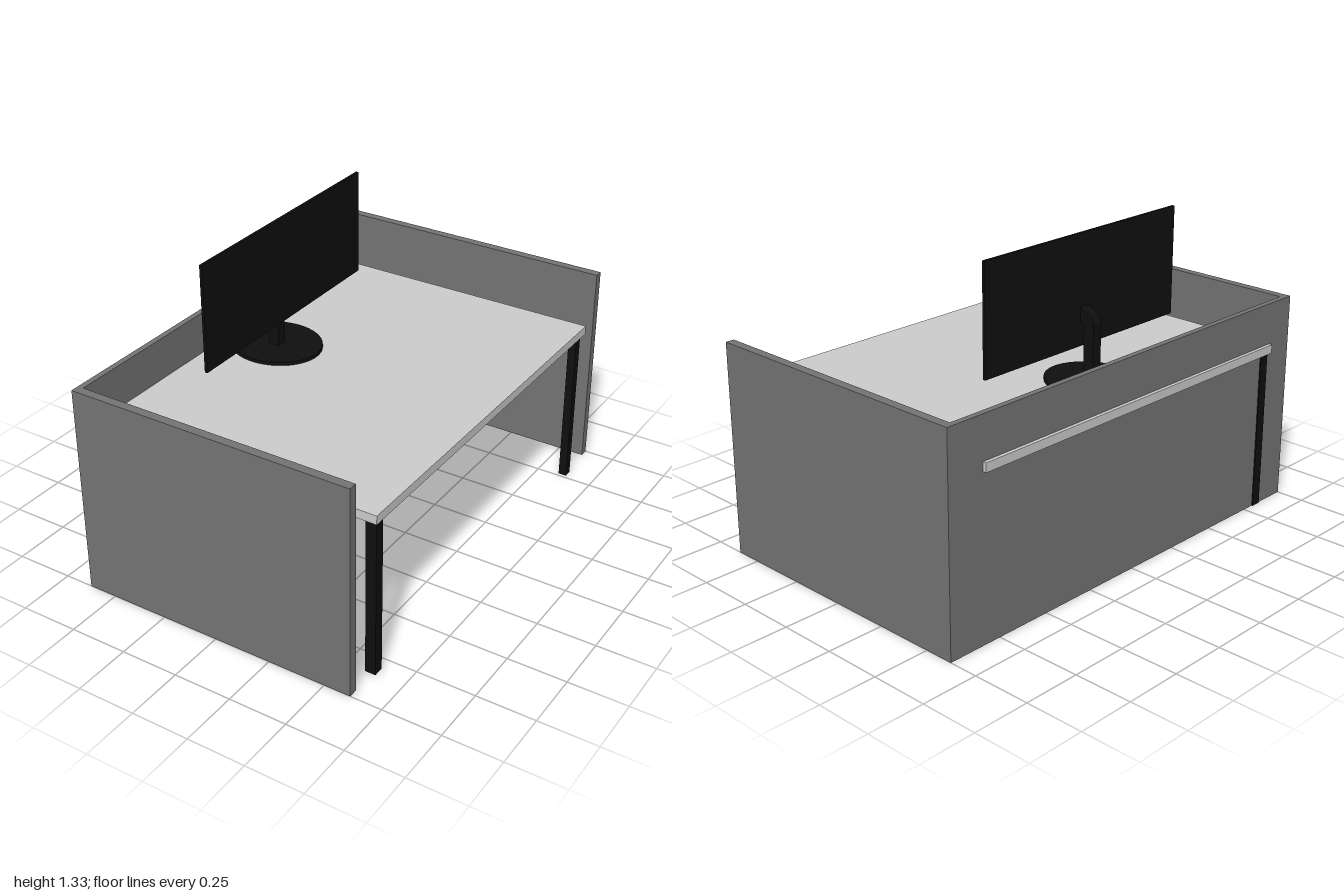
import * as THREE from 'three';

const panelMat = new THREE.MeshStandardMaterial({ color: 0x747474 });
const deskMat = new THREE.MeshStandardMaterial({ color: 0xcccccc });
const blackMat = new THREE.MeshStandardMaterial({ color: 0x0f0f0f });

// Box given by its extents along each axis
function addBox(parent, name, material, [x0, x1], [y0, y1], [z0, z1]) {
  const mesh = new THREE.Mesh(new THREE.BoxGeometry(x1 - x0, y1 - y0, z1 - z0), material);
  mesh.position.set((x0 + x1) / 2, (y0 + y1) / 2, (z0 + z1) / 2);
  mesh.name = name;
  parent.add(mesh);
  return mesh;
}

function createPartitions() {
  const group = new THREE.Group();
  group.name = 'partitions';
  addBox(group, 'longPartition', panelMat, [-0.625, -0.6], [0, 0.91], [-1, 1]);
  addBox(group, 'frontPartition', panelMat, [-0.6, 0.615], [0, 0.91], [0.962, 1]);
  addBox(group, 'backPartition', panelMat, [-0.6, 0.615], [0, 0.91], [-1, -0.962]);
  return group;
}

function createDesk() {
  const group = new THREE.Group();
  group.name = 'desk';
  addBox(group, 'desktop', deskMat, [-0.64, 0.64], [0.692, 0.73], [-0.83, 0.865]);
  // The front pair of legs is slightly thicker than the back pair
  for (const [name, size, outer, z0] of [['frontLeg', 0.045, 0.63, 0.805], ['backLeg', 0.036, 0.622, -0.801]]) {
    addBox(group, name, blackMat, [-outer, size - outer], [0, 0.692], [z0, z0 + size]);
    addBox(group, name, blackMat, [0.63 - size, 0.63], [0, 0.692], [z0, z0 + size]);
  }
  return group;
}

function createMonitor() {
  const group = new THREE.Group();
  group.name = 'monitor';
  addBox(group, 'screen', blackMat, [-0.332, -0.32], [0.87, 1.33], [-0.525, 0.565]);

  // Oval foot resting on the desktop
  const foot = new THREE.Mesh(new THREE.CylinderGeometry(1, 1, 0.015, 48), blackMat);
  foot.scale.set(0.2, 1, 0.175);
  foot.position.set(-0.38, 0.7375, 0.017);
  foot.name = 'monitorFoot';
  group.add(foot);

  // Bent neck from the foot to the back of the screen
  const profile = new THREE.Shape([
    [-0.4, 0.74], [-0.35, 0.74], [-0.35, 0.963], [-0.328, 0.978],
    [-0.328, 1.034], [-0.38, 1.007], [-0.4, 0.978],
  ].map(([x, y]) => new THREE.Vector2(x, y)));
  const neck = new THREE.Mesh(
    new THREE.ExtrudeGeometry(profile, { depth: 0.045, bevelEnabled: false }), blackMat);
  neck.name = 'monitorNeck';
  group.add(neck);
  return group;
}

export function createModel() {
  const model = new THREE.Group();
  model.name = 'workstation';
  model.add(createPartitions(), createDesk(), createMonitor());
  return model;
}
